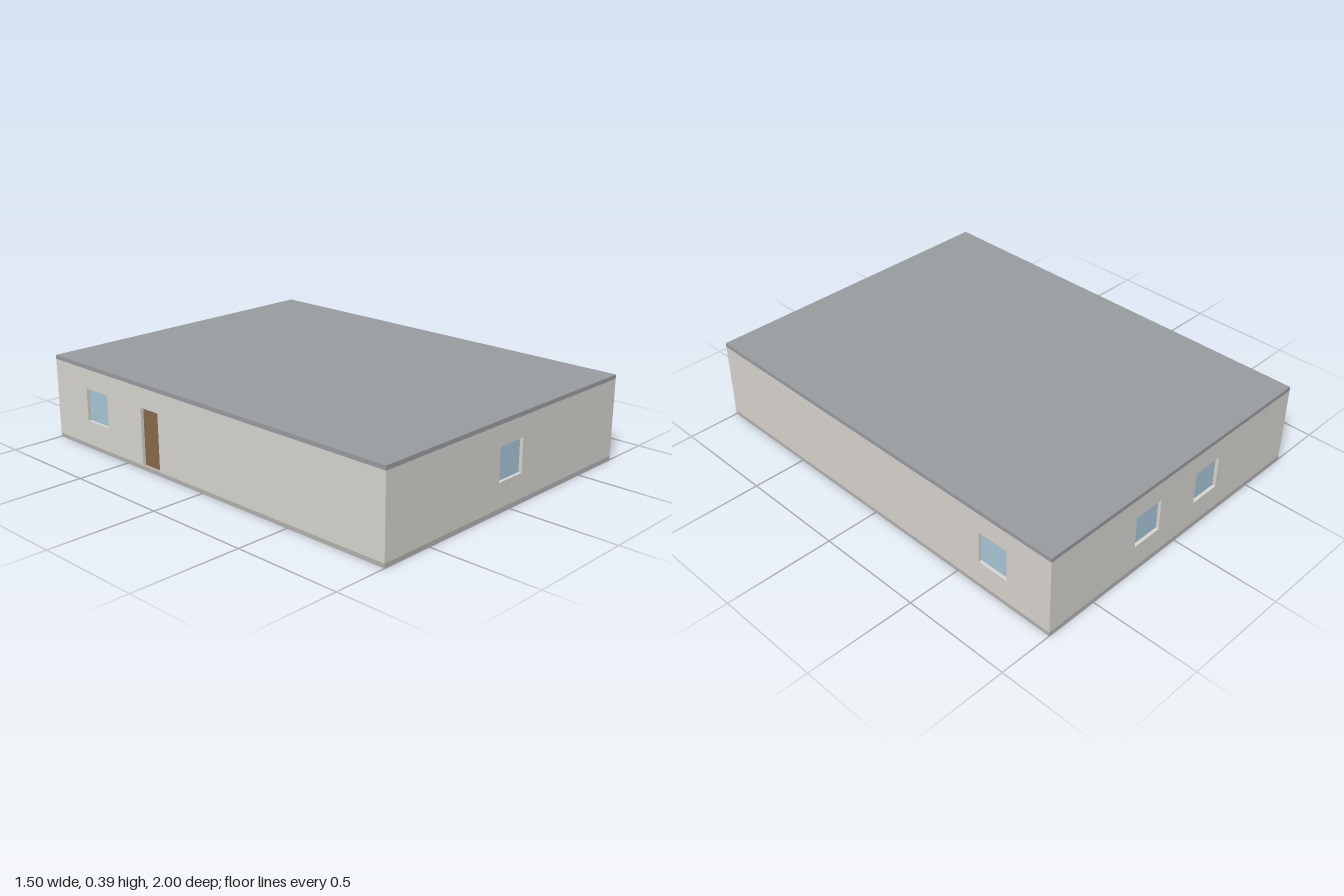
import * as THREE from 'three';

const W = 1.5, L = 2, T = 0.025;            // footprint and wall thickness
const FLOOR = 0.019, EAVE = 0.375, TOP = 0.394;
const SILL = 0.131, HEAD = 0.283, WIN = 0.15;
const DOOR = 0.115, RECESS = 0.015;

const mat = (color) => new THREE.MeshStandardMaterial({ color });

export function createModel() {
  const group = new THREE.Group();
  const wallMat = mat(0xd9d6d0), roofMat = mat(0x9a9da0), floorMat = mat(0xb4b4b2);
  const glassMat = mat(0xa9c8d8), doorMat = mat(0x8a6a4c);

  function box(parent, name, size, pos, material) {
    const mesh = new THREE.Mesh(new THREE.BoxGeometry(...size), material);
    mesh.name = name;
    mesh.position.set(...pos);
    parent.add(mesh);
  }

  // A wall with its outer face at local z = 0, window holes and an optional door notch
  function wall(name, length, distance, angle, windows, door) {
    const side = new THREE.Group();
    side.name = name;
    const h = length / 2, d = DOOR / 2;
    const pts = [[-h, FLOOR]];
    if (door !== undefined) {
      pts.push([door - d, FLOOR], [door - d, HEAD], [door + d, HEAD], [door + d, FLOOR]);
    }
    pts.push([h, FLOOR], [h, EAVE], [-h, EAVE]);
    const shape = new THREE.Shape(pts.map(([x, y]) => new THREE.Vector2(x, y)));
    for (const u of windows) {
      const a = u - WIN / 2, b = u + WIN / 2;
      shape.holes.push(new THREE.Path([
        new THREE.Vector2(a, SILL), new THREE.Vector2(a, HEAD),
        new THREE.Vector2(b, HEAD), new THREE.Vector2(b, SILL),
      ]));
    }
    const geo = new THREE.ExtrudeGeometry(shape, { depth: T, bevelEnabled: false });
    geo.translate(0, 0, -T);
    const panel = new THREE.Mesh(geo, wallMat);
    panel.name = 'wallPanel';
    side.add(panel);

    // Recessed panes and door leaf
    const depth = T - RECESS, z = -RECESS - depth / 2;
    for (const u of windows) {
      box(side, 'windowPane', [WIN, HEAD - SILL, depth], [u, (SILL + HEAD) / 2, z], glassMat);
    }
    if (door !== undefined) {
      box(side, 'doorLeaf', [DOOR, HEAD - FLOOR, depth], [door, (FLOOR + HEAD) / 2, z], doorMat);
    }
    side.rotation.y = angle;
    side.position.set(Math.sin(angle) * distance, 0, Math.cos(angle) * distance);
    group.add(side);
  }

  // Floor and roof slabs, flush with the walls
  box(group, 'floorSlab', [W, FLOOR, L], [0, FLOOR / 2, 0], floorMat);
  box(group, 'roofSlab', [W, TOP - EAVE, L], [0, (EAVE + TOP) / 2, 0], roofMat);

  // Outer walls; the side walls fit between the front and back ones
  wall('frontWall', W, L / 2, 0, [0]);
  wall('backWall', W, L / 2, Math.PI, [-0.1875, 0.1875]);
  wall('leftWall', L - 2 * T, W / 2, Math.PI / 2, [0.7]);
  wall('rightWall', L - 2 * T, W / 2, -Math.PI / 2, [-0.7], -0.33);

  return group;
}
